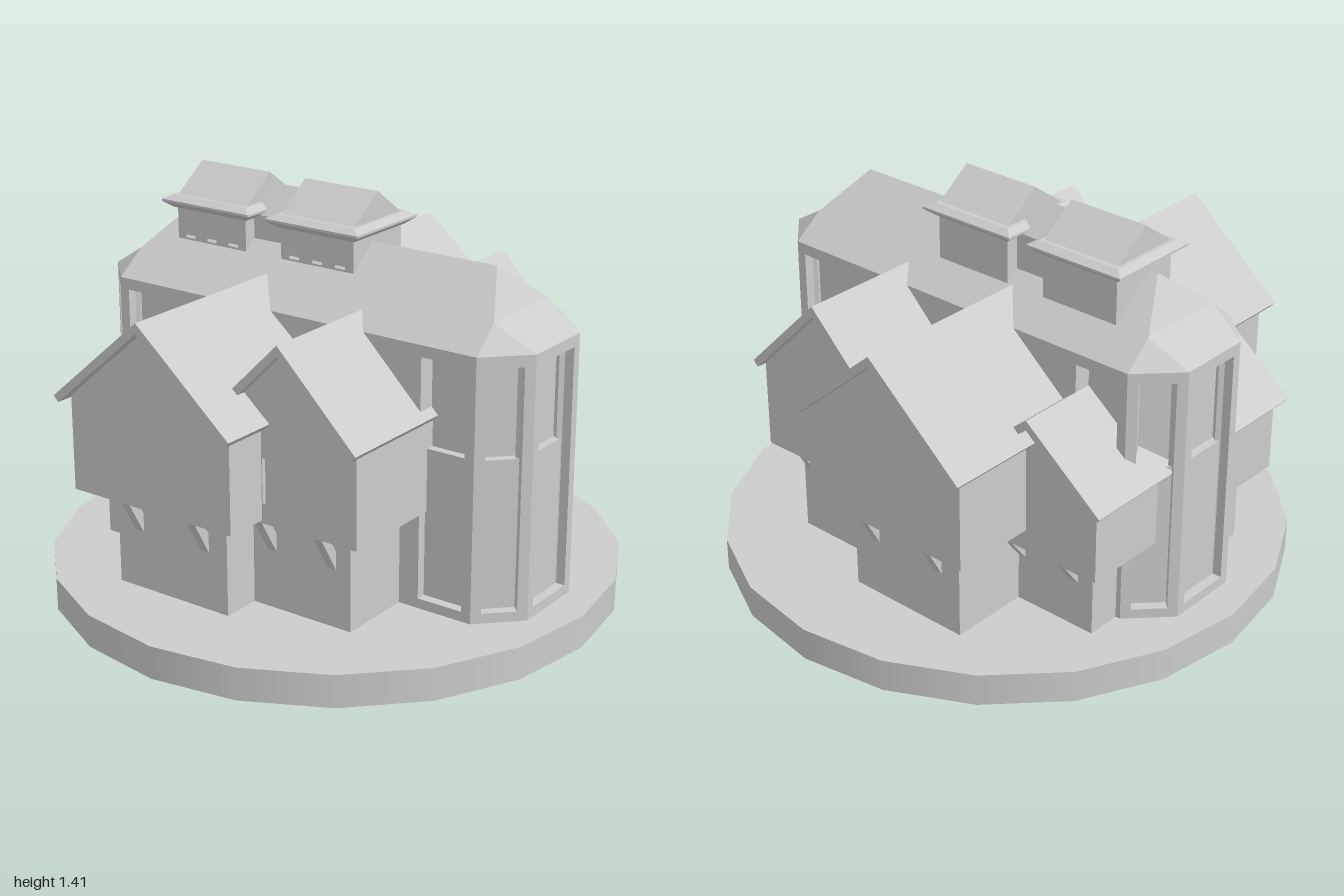
import * as THREE from 'three';

const flat = new THREE.MeshStandardMaterial({ color: 0xcccccc, flatShading: true });
const smooth = new THREE.MeshStandardMaterial({ color: 0xcccccc });

function add(parent, name, geometry, material = flat) {
  const mesh = new THREE.Mesh(geometry, material);
  mesh.name = name;
  parent.add(mesh);
  return mesh;
}

const shapeOf = (pts) => new THREE.Shape(pts.map(([a, b]) => new THREE.Vector2(a, b)));
const rect = (a0, a1, b0, b1) => [[a0, b0], [a1, b0], [a1, b1], [a0, b1]];

function extrude(pts, holes, depth) {
  const shape = shapeOf(pts);
  holes.forEach((h) => shape.holes.push(shapeOf(h)));
  return new THREE.ExtrudeGeometry(shape, { depth, bevelEnabled: false });
}

// Prism with a (z, y) profile, running along x from x0 to x1
function prismX(pts, x0, x1, holes = []) {
  const flip = (list) => list.map(([z, y]) => [-z, y]);
  return extrude(flip(pts), holes.map(flip), x1 - x0).rotateY(Math.PI / 2).translate(x0, 0, 0);
}

// Walls with recessed openings at both x ends of a solid body
function bodyX(parent, name, pts, x0, x1, holes, depth = 0.02) {
  add(parent, name + 'Core', prismX(pts, x0 + depth, x1 - depth));
  add(parent, name + 'EndWall', prismX(pts, x1 - depth, x1, holes));
  add(parent, name + 'EndWall', prismX(pts, x0, x0 + depth, holes));
}

// Gabled cross wing: narrow ground storey, overhanging upper storey, roof, brackets
function makeWing(w) {
  const g = new THREE.Group();
  g.name = w.name;
  const { z, ridge, slope, eave, floor } = w;
  const windows = (list) => list.map((r) => rect(...r));
  bodyX(g, 'groundStorey', rect(z - w.low, z + w.low, 0.1, floor + 0.01), -w.xLow, w.xLow, windows(w.lowWindows));
  const top = ridge - 0.015, side = top - slope * w.up;
  bodyX(g, 'upperStorey',
    [[z - w.up, floor], [z + w.up, floor], [z + w.up, side], [z, top], [z - w.up, side]],
    -w.xUp, w.xUp, windows(w.upWindows));
  // Roof slab with eaves cut square to the slope
  const outer = ridge - slope * eave, inX = eave - 0.018, inY = outer - 0.02;
  add(g, 'roof', prismX([
    [z - eave, outer], [z - inX, inY], [z, inY + slope * inX], [z + inX, inY], [z + eave, outer], [z, ridge],
  ], -w.xRoof, w.xRoof));
  // Slanted struts below the overhang
  for (const s of [-1, 1]) for (const bz of w.brackets) {
    const d = w.drop;
    const pts = [[-0.01, -d], [0, -d], [0.08, 0.005], [0.04, 0.005], [0, -d * 0.5], [-0.01, -d * 0.5]];
    add(g, 'bracket', extrude(pts.map(([a, b]) => [s * (w.xLow + a), floor + b]), [], 0.034)
      .translate(0, 0, bz - 0.017));
  }
  return g;
}

// Long hall with chamfered ends and tall stepped windows
function makeHall() {
  const g = new THREE.Group();
  g.name = 'hall';
  const y0 = 0.1, y1 = 1.03, deep = 0.065;
  const octagon = (x, xe, z, ze) => [[xe, ze], [x, z], [x, -z], [xe, -ze], [-xe, -ze], [-x, -z], [-x, z], [-xe, ze]];
  add(g, 'hallCore', extrude(octagon(0.205, 0.108, 0.708, 0.805), [], y1 - y0)
    .rotateX(-Math.PI / 2).translate(0, y0, 0));

  function facet(width, x, z, angle, windows) {
    const wall = new THREE.Group();
    wall.name = 'hallFacet';
    const holes = windows.map(([c, w]) => rect(c - w / 2, c + w / 2, 0.15, 0.99));
    add(wall, 'hallWall', extrude(rect(-width / 2, width / 2, y0, y1), holes, deep).translate(0, 0, -deep));
    for (const [c, w] of windows) {
      add(wall, 'lowerPane', new THREE.BoxGeometry(w, 0.52, 0.03).translate(c, 0.41, -0.05));
    }
    wall.position.set(x, 0, z);
    wall.rotation.y = angle;
    g.add(wall);
  }
  for (const turn of [0, Math.PI]) {
    const s = turn ? -1 : 1;
    facet(0.27, 0, 0.87 * s, turn, [[0, 0.205]]);
    facet(1.47, 0.27 * s, 0, turn + Math.PI / 2, [[-0.615, 0.17], [0.615, 0.17]]);
    for (const c of [-1, 1]) {
      facet(0.191, 0.2025 * s * c, 0.8025 * s, turn + c * Math.PI / 4, [[0, 0.12]]);
    }
  }

  // Hipped roof: one quarter described, then mirrored
  const pos = [];
  const E = [0.135, y1, 0.87], C = [0.27, y1, 0.735], K = [0.165, 1.114, 0.73];
  const R = [0, 1.245, 0.635], M = [0, 1.245, 0], B = [0.27, y1, 0];
  const F = [0, y1, 0.87], N = [0, 1.114, 0.73];
  const tris = [[F, E, K], [F, K, N], [N, K, R], [E, C, K], [C, R, K], [C, B, M], [C, M, R]];
  for (const sx of [1, -1]) for (const sz of [1, -1]) for (const t of tris) {
    const order = sx * sz > 0 ? t : [t[0], t[2], t[1]];
    order.forEach((p) => pos.push(p[0] * sx, p[1], p[2] * sz));
  }
  const roof = new THREE.BufferGeometry();
  roof.setAttribute('position', new THREE.Float32BufferAttribute(pos, 3));
  roof.computeVertexNormals();
  add(g, 'hallRoof', roof);
  return g;
}

// Arched opening outline in (z, y)
function arch(z, r, y0, y1) {
  const pts = [[z - r, y0], [z + r, y0]];
  for (let i = 0; i <= 6; i++) {
    const a = (i / 6) * Math.PI;
    pts.push([z + r * Math.cos(a), y1 - r + r * Math.sin(a)]);
  }
  return pts;
}

// Roof lantern with arched windows, bevelled eave and small gable
function makeLantern() {
  const g = new THREE.Group();
  g.name = 'roofLantern';
  bodyX(g, 'lantern', rect(-0.15, 0.15, 1.04, 1.28), -0.137, 0.137,
    [-0.095, 0, 0.095].map((z) => arch(z, 0.021, 1.165, 1.243)), 0.015);
  // Square frustums: four-sided cylinders stretched to the plan
  const frustum = (top, bottom, y0, y1) => {
    const k = Math.SQRT2;
    return new THREE.CylinderGeometry(top * k, bottom * k, y1 - y0, 4).rotateY(Math.PI / 4)
      .scale(0.92, 1, 1).translate(0, (y0 + y1) / 2, 0);
  };
  add(g, 'eaveLower', frustum(0.19, 0.16, 1.27, 1.292));
  add(g, 'eaveEdge', frustum(0.19, 0.19, 1.292, 1.3));
  add(g, 'eaveUpper', frustum(0.162, 0.19, 1.3, 1.315));
  add(g, 'lanternRoof', extrude([[-0.138, 1.31], [0.138, 1.31], [0, 1.41]], [], 0.3).translate(0, 0, -0.15));
  return g;
}

export function createModel() {
  const model = new THREE.Group();
  model.name = 'building';
  add(model, 'base', new THREE.CylinderGeometry(1, 1, 0.115, 20).translate(0, 0.0575, 0), smooth);
  model.add(makeHall());

  model.add(makeWing({
    name: 'frontWing', z: 0.255, ridge: 1.08, slope: 1, eave: 0.3, floor: 0.45,
    low: 0.2, up: 0.28, xLow: 0.545, xUp: 0.625, xRoof: 0.66, drop: 0.13, brackets: [0.38, 0.14],
    lowWindows: [[0.295, 0.35, 0.15, 0.3], [0.145, 0.205, 0.15, 0.3]],
    upWindows: [[0.43, 0.505, 0.545, 0.645], [0.29, 0.365, 0.545, 0.645], [0.165, 0.245, 0.52, 0.675]],
  }));
  model.add(makeWing({
    name: 'middleWing', z: -0.17, ridge: 1.115, slope: 0.865, eave: 0.367, floor: 0.46,
    low: 0.233, up: 0.332, xLow: 0.685, xUp: 0.785, xRoof: 0.83, drop: 0.14, brackets: [-0.03, -0.31],
    lowWindows: [[-0.125, -0.06, 0.155, 0.305], [-0.28, -0.21, 0.155, 0.305]],
    upWindows: [[0.035, 0.12, 0.565, 0.67], [-0.13, -0.04, 0.565, 0.67],
      [-0.29, -0.195, 0.53, 0.7], [-0.48, -0.375, 0.53, 0.7]],
  }));
  model.add(makeWing({
    name: 'rearWing', z: -0.53, ridge: 0.89, slope: 0.8, eave: 0.298, floor: 0.385,
    low: 0.187, up: 0.26, xLow: 0.395, xUp: 0.475, xRoof: 0.51, drop: 0.1, brackets: [-0.415, -0.64],
    lowWindows: [[-0.485, -0.43, 0.145, 0.26], [-0.615, -0.56, 0.145, 0.26]],
    upWindows: [[-0.625, -0.535, 0.445, 0.57], [-0.775, -0.69, 0.445, 0.57]],
  }));

  // Pair of lanterns and the gabled link between them
  for (const z of [0, -0.452]) {
    const lantern = makeLantern();
    lantern.position.set(0.028, 0, z);
    model.add(lantern);
  }
  add(model, 'lanternLink', extrude([[-0.09, 1.05], [0.09, 1.05], [0.09, 1.28], [0, 1.375], [-0.09, 1.28]], [], 0.18)
    .translate(0.028, 0, -0.316));
  return model;
}
